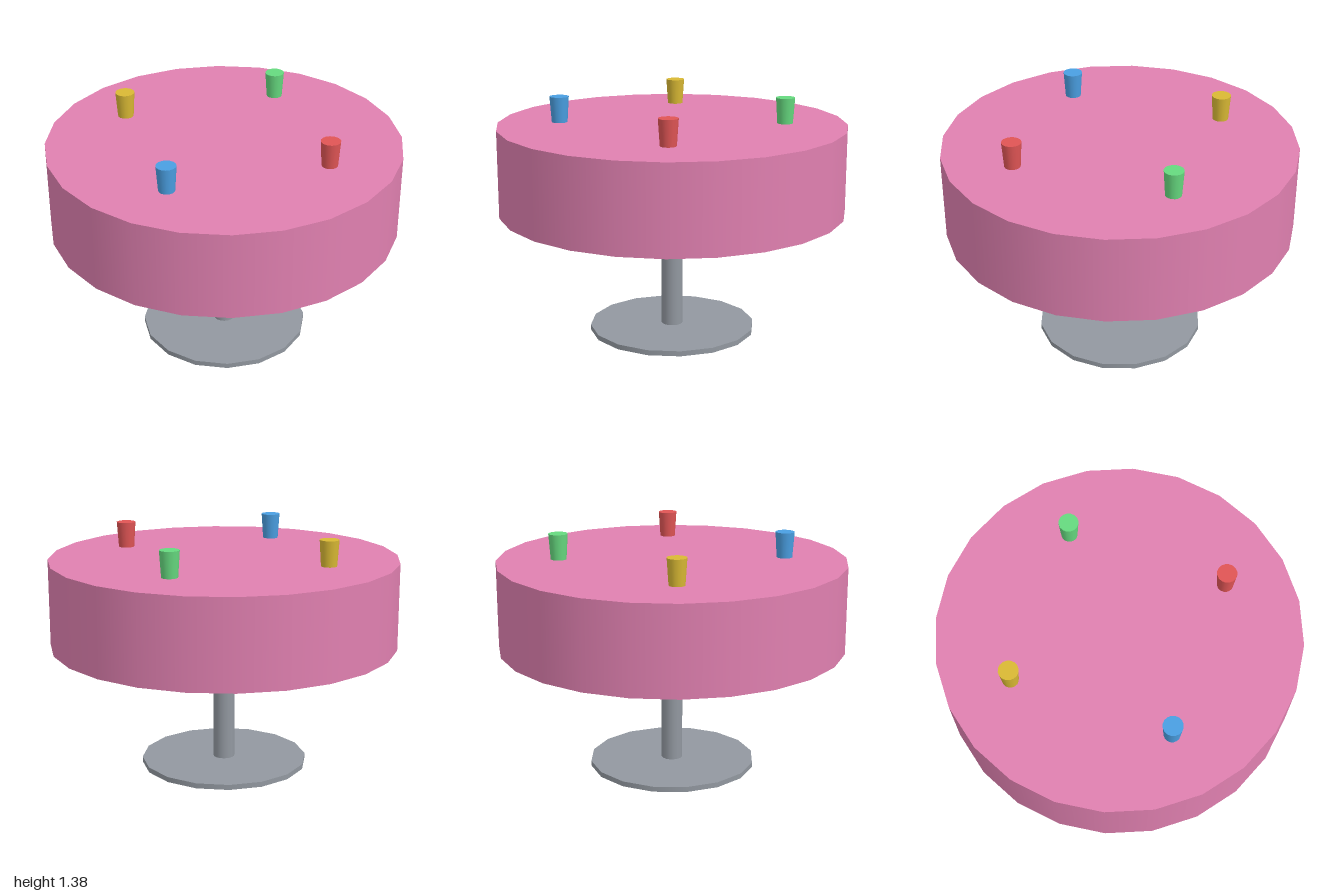
import * as THREE from 'three';

const paint = (name, color, side = THREE.FrontSide) => {
  const m = new THREE.MeshStandardMaterial({ color, side });
  m.name = name;
  return m;
};

export function createModel() {
  const group = new THREE.Group();
  const pink = paint('pink cloth', 0xe080b0, THREE.DoubleSide);
  const metal = paint('grey metal', 0x9298a0);
  const board = paint('pale board', 0xd0cfca);

  const add = (name, geometry, material, x = 0, y = 0, z = 0) => {
    const mesh = new THREE.Mesh(geometry, material);
    mesh.name = name;
    mesh.position.set(x, y, z);
    group.add(mesh);
  };

  // Foot and pole
  add('base', new THREE.CylinderGeometry(0.483, 0.483, 0.03, 16), metal, 0, 0.015);
  add('pole', new THREE.CylinderGeometry(0.062, 0.062, 1.15, 16), metal, 0, 0.6);

  // Round board hidden under the cloth
  add('tabletop', new THREE.CylinderGeometry(0.99, 0.99, 0.05, 24), board, 0, 1.187);

  // Cloth: open skirt and a barely raised top
  add('clothSkirt', new THREE.CylinderGeometry(1, 1, 0.5, 24, 1, true), pink, 0, 0.98);
  add('clothTop', new THREE.ConeGeometry(1, 0.008, 24, 1, true), pink, 0, 1.234);

  // Four tapered cups, each a quarter turn from the last
  const cup = new THREE.CylinderGeometry(0.055, 0.045, 0.147, 16);
  [['red', 0xe05555], ['blue', 0x4a9fe2], ['yellow', 0xd9b934], ['green', 0x66d97f]].forEach(([name, color], i) => {
    const a = Math.PI / 6 + i * Math.PI / 2;
    add(name + 'Cup', cup, paint(name, color), 0.643 * Math.cos(a), 1.31, 0.643 * Math.sin(a));
  });

  return group;
}
